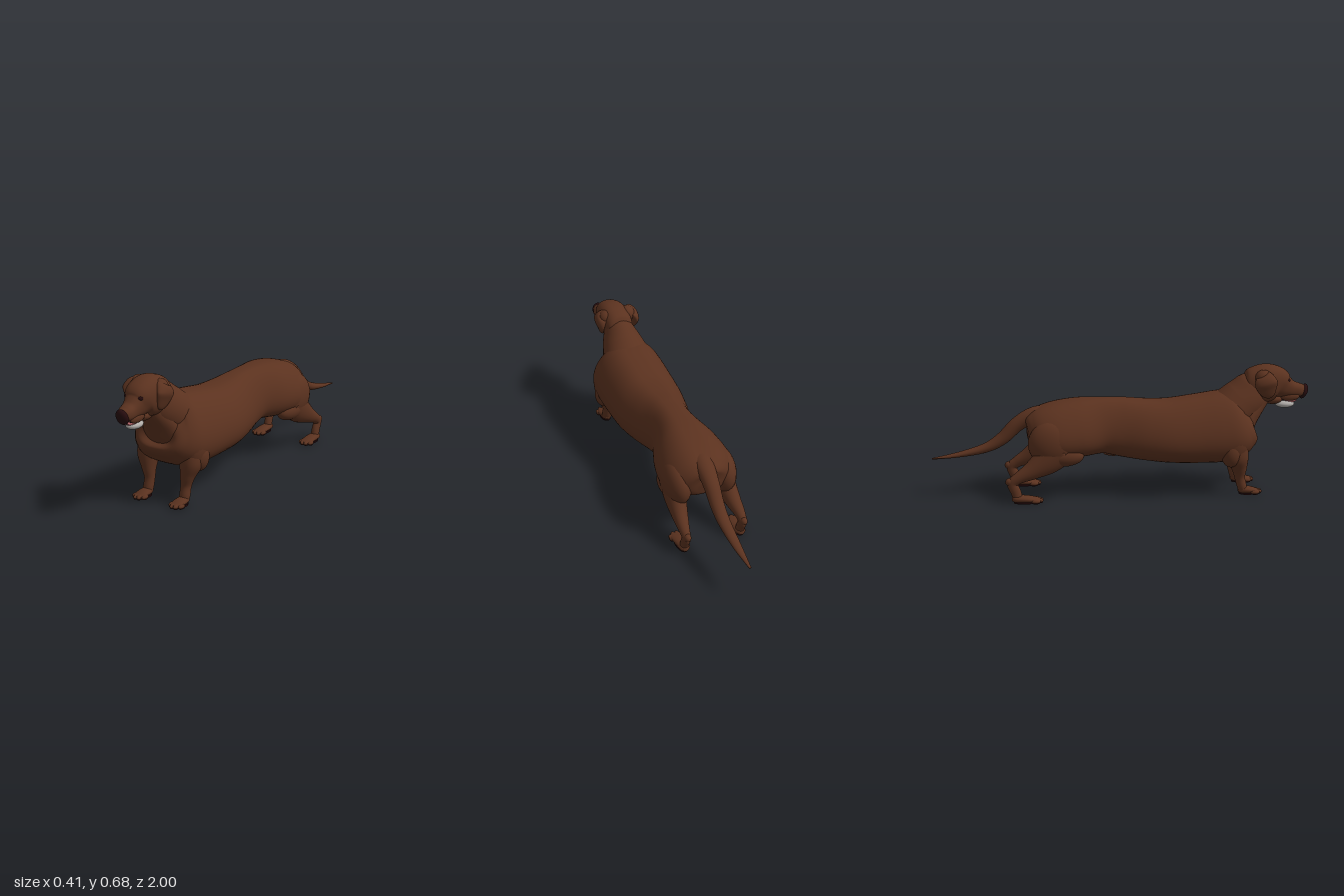
import * as THREE from 'three';

const material = (name, color) => {
  const m = new THREE.MeshStandardMaterial({ color });
  m.name = name;
  return m;
};

// Smooth skin through sections [x, y, z, halfWidth, halfDepth]; shape(angle) gives the unit outline.
const ellipse = (t) => [Math.cos(t), Math.sin(t)];
const power = (v, e) => Math.sign(v) * Math.abs(v) ** e;
function loft(sections, steps = 40, sides = 28, shape = ellipse) {
  const curve = (points) => new THREE.CatmullRomCurve3(points, false, 'catmullrom', 0.5);
  const path = curve(sections.map((s) => new THREE.Vector3(s[0], s[1], s[2])));
  const size = curve(sections.map((s) => new THREE.Vector3(s[3], s[4], 0)));
  const X = new THREE.Vector3(1, 0, 0);
  const pos = [], index = [];
  for (let i = 0; i <= steps; i++) {
    const c = path.getPoint(i / steps), r = size.getPoint(i / steps);
    const n = path.getTangent(i / steps).cross(X).normalize();
    for (let j = 0; j < sides; j++) {
      const [u, v] = shape((j / sides) * Math.PI * 2);
      const p = c.clone().addScaledVector(X, u * Math.max(r.x, 0.001)).addScaledVector(n, v * Math.max(r.y, 0.001));
      pos.push(p.x, p.y, p.z);
      if (i < steps) {
        const k = (j + 1) % sides, a = i * sides + j, b = i * sides + k;
        index.push(a, b, b + sides, a, b + sides, a + sides);
      }
    }
  }
  // End caps
  const first = sections[0], last = sections[sections.length - 1], base = steps * sides;
  const c0 = pos.length / 3;
  pos.push(first[0], first[1], first[2], last[0], last[1], last[2]);
  for (let j = 0; j < sides; j++) {
    const k = (j + 1) % sides;
    index.push(c0, k, j, c0 + 1, base + j, base + k);
  }
  const g = new THREE.BufferGeometry();
  g.setAttribute('position', new THREE.Float32BufferAttribute(pos, 3));
  g.setIndex(index);
  g.computeVertexNormals();
  return g;
}

export function createModel() {
  const coat = material('brown coat', 0x5b321f);
  const dark = material('dark nose and pads', 0x260c0e);
  const pale = material('pale jaw', 0xb2aeaa);
  const pink = material('pink tongue', 0xb9686c);

  const model = new THREE.Group();
  model.name = 'dog';
  const add = (name, geometry, mat, parent = model) => {
    const mesh = new THREE.Mesh(geometry, mat);
    mesh.name = name;
    parent.add(mesh);
    return mesh;
  };
  const blob = (name, mat, p, r, parent = model) => {
    const mesh = add(name, new THREE.SphereGeometry(1, 24, 16), mat, parent);
    mesh.position.set(...p);
    mesh.scale.set(...r);
    return mesh;
  };
  const group = (name) => {
    const g = new THREE.Group();
    g.name = name;
    model.add(g);
    return g;
  };

  // Torso: [z, bottom, top, halfWidth], wider low down than along the back
  const torso = [
    [-0.497, 0.29, 0.36, 0.04], [-0.485, 0.25, 0.405, 0.1], [-0.455, 0.225, 0.45, 0.15],
    [-0.41, 0.212, 0.478, 0.18], [-0.33, 0.207, 0.5, 0.19], [-0.22, 0.215, 0.515, 0.172],
    [-0.1, 0.225, 0.517, 0.133], [0, 0.205, 0.513, 0.136], [0.12, 0.185, 0.502, 0.166],
    [0.25, 0.17, 0.5, 0.19], [0.4, 0.165, 0.518, 0.197], [0.52, 0.167, 0.535, 0.198],
    [0.6, 0.19, 0.54, 0.188], [0.65, 0.235, 0.52, 0.155], [0.68, 0.3, 0.48, 0.1], [0.692, 0.34, 0.44, 0.03],
  ].map(([z, lo, hi, w]) => [0, (lo + hi) / 2, z, w, (hi - lo) / 2]);
  const pear = (t) => {
    const v = Math.sin(t);
    return [power(Math.cos(t), 0.7) * (1 - 0.2 * v), v];
  };
  add('torso', loft(torso, 90, 48, pear), coat);
  blob('belly bump', coat, [0, 0.215, -0.04], [0.025, 0.018, 0.06]);

  // Neck and throat
  add('neck', loft([
    [0, 0.37, 0.47, 0.13, 0.11], [0, 0.425, 0.565, 0.135, 0.12],
    [0, 0.49, 0.645, 0.112, 0.117], [0, 0.548, 0.695, 0.085, 0.1], [0, 0.585, 0.73, 0.06, 0.07],
  ]), coat);
  add('throat', loft([
    [0, 0.27, 0.59, 0.09, 0.06], [0, 0.35, 0.632, 0.115, 0.07], [0, 0.42, 0.672, 0.1, 0.066],
    [0, 0.49, 0.715, 0.072, 0.066], [0, 0.55, 0.755, 0.05, 0.06],
  ]), coat);

  // Head and muzzle, slightly square in section
  const head = group('head');
  const squarish = (t) => [power(Math.cos(t), 0.85), power(Math.sin(t), 0.85)];
  add('skull and muzzle', loft([
    [0, 0.575, 0.62, 0.025, 0.03], [0, 0.568, 0.66, 0.068, 0.076], [0, 0.57, 0.72, 0.083, 0.098],
    [0.002, 0.576, 0.78, 0.085, 0.1], [0.005, 0.572, 0.83, 0.076, 0.086], [0.008, 0.552, 0.87, 0.056, 0.061],
    [0.01, 0.537, 0.91, 0.045, 0.044], [0.013, 0.531, 0.95, 0.04, 0.036],
    [0.015, 0.532, 0.975, 0.029, 0.027], [0.015, 0.532, 0.984, 0.012, 0.012],
  ], 60, 36, squarish), coat, head);
  blob('nose', dark, [0.015, 0.522, 0.975], [0.034, 0.041, 0.022], head).rotation.x = 0.35;
  for (const x of [-0.028, 0.045]) blob('eye', dark, [x, 0.594, 0.879], [0.018, 0.012, 0.013], head);

  // Open mouth
  for (const x of [-0.019, 0.041]) blob('upper lip', coat, [x, 0.502, 0.895], [0.014, 0.023, 0.052], head);
  blob('jaw hinge', coat, [0.002, 0.488, 0.805], [0.042, 0.028, 0.055], head);
  blob('mouth lining', dark, [0.007, 0.484, 0.88], [0.034, 0.007, 0.05], head);
  blob('lower jaw', pale, [0.005, 0.459, 0.873], [0.037, 0.022, 0.052], head);
  blob('tongue', pink, [0.007, 0.476, 0.893], [0.025, 0.012, 0.044], head);

  // Tail
  add('tail', loft([
    [0.005, 0.44, -0.36, 0.05, 0.04], [0.008, 0.43, -0.46, 0.05, 0.042], [0.01, 0.38, -0.55, 0.042, 0.039],
    [0.012, 0.305, -0.63, 0.036, 0.034], [0.012, 0.255, -0.72, 0.031, 0.025],
    [0.012, 0.222, -0.86, 0.022, 0.014], [0.012, 0.203, -1, 0.006, 0.004],
  ], 50, 24), coat);

  // Paw reaching from heel to toe along z, with dark pads below
  function paw(parent, x, heel, toe) {
    const mid = (heel + toe) / 2, len = toe - heel;
    add('paw', loft([
      [x, 0.026, heel, 0.012, 0.012], [x, 0.025, heel + 0.02, 0.027, 0.02],
      [x, 0.022, mid, 0.034, 0.017], [x, 0.016, toe - 0.03, 0.034, 0.011], [x, 0.013, toe - 0.012, 0.02, 0.007],
    ], 20, 20), coat, parent);
    [-0.029, -0.0105, 0.0105, 0.029].forEach((dx, i) => {
      const back = i === 0 || i === 3 ? 0.016 : 0;
      blob('toe', coat, [x + dx, 0.014, toe - 0.024 - back], [0.0125, 0.011, 0.024], parent);
      blob('toe pad', dark, [x + dx, 0.005, toe - 0.024 - back], [0.011, 0.005, 0.02], parent);
    });
    const sole = add('sole', new THREE.CylinderGeometry(1, 1, 1, 24), dark, parent);
    sole.position.set(x, 0.004, mid - 0.01);
    sole.scale.set(0.029, 0.008, len * 0.38);
  }

  for (const s of [-1, 1]) {
    const side = s > 0 ? 'left' : 'right';
    const mirrored = (sections) => sections.map(([x, ...rest]) => [x * s, ...rest]);

    // Hanging ear, joined to the skull by a rounded base
    blob(side + ' ear base', coat, [s * 0.062 - 0.007, 0.615, 0.74], [0.042, 0.044, 0.046], head);
    add(side + ' ear', loft(mirrored([
      [0.06, 0.64, 0.735, 0.02, 0.018], [0.086, 0.628, 0.74, 0.026, 0.045], [0.102, 0.595, 0.746, 0.023, 0.06],
      [0.098, 0.56, 0.755, 0.016, 0.05], [0.092, 0.53, 0.765, 0.01, 0.032], [0.088, 0.514, 0.77, 0.004, 0.01],
    ]), 30, 24), coat, head).position.x = -0.009;

    // Front leg
    const front = group(side + ' front leg');
    blob('shoulder', coat, [s * 0.14, 0.29, 0.57], [0.058, 0.115, 0.085], front);
    blob('elbow', coat, [s * 0.152, 0.238, 0.56], [0.05, 0.078, 0.055], front);
    add('front leg', loft(mirrored([
      [0.125, 0.29, 0.58, 0.06, 0.075], [0.13, 0.2, 0.6, 0.055, 0.058], [0.12, 0.14, 0.612, 0.038, 0.04],
      [0.112, 0.09, 0.617, 0.028, 0.028], [0.112, 0.045, 0.628, 0.028, 0.026], [0.112, 0.018, 0.638, 0.026, 0.022],
    ]), 36, 24), coat, front);
    paw(front, s * 0.112, 0.608, 0.735);

    // Hind leg
    const hind = group(side + ' hind leg');
    blob('thigh', coat, [s * 0.125, 0.305, -0.37], [0.073, 0.125, 0.13], hind);
    blob('knee', coat, [s * 0.136, 0.24, -0.32], [0.053, 0.055, 0.11], hind);
    add('hind leg', loft(mirrored([
      [0.13, 0.29, -0.335, 0.06, 0.1], [0.137, 0.225, -0.4, 0.055, 0.08], [0.147, 0.172, -0.48, 0.042, 0.05],
      [0.155, 0.135, -0.55, 0.029, 0.031], [0.157, 0.105, -0.583, 0.022, 0.028],
      [0.157, 0.06, -0.567, 0.021, 0.027], [0.157, 0.02, -0.555, 0.024, 0.025],
    ]), 44, 24), coat, hind);
    blob('hock', coat, [s * 0.157, 0.115, -0.595], [0.019, 0.022, 0.026], hind);
    paw(hind, s * 0.157, -0.588, -0.425);
  }
  return model;
}
